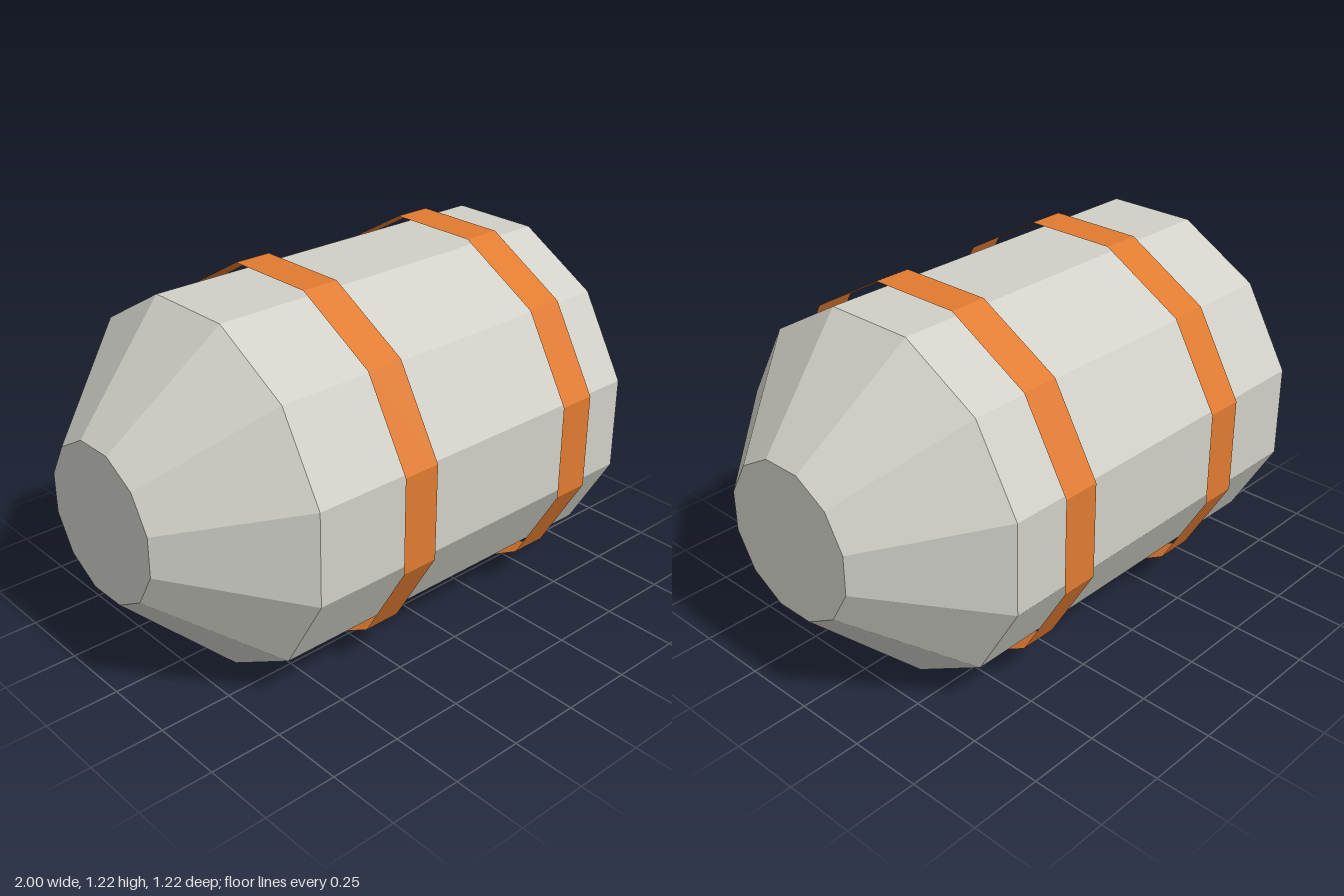
import * as THREE from 'three';

const SIDES = 12;
const HALF_STEP = Math.PI / SIDES; // turns a flat facet to the top and bottom
const AXIS_HEIGHT = 0.61;

export function createModel() {
  const shellGrey = new THREE.MeshStandardMaterial({ color: 0xd0d0c8, flatShading: true });
  shellGrey.name = 'shellGrey';
  const bandOrange = new THREE.MeshStandardMaterial({ color: 0xe07b30, flatShading: true, side: THREE.DoubleSide });
  bandOrange.name = 'bandOrange';

  const model = new THREE.Group();
  model.name = 'canister';

  // Faceted body with tapered, flat ends, lying along x
  const profile = [[0, -1], [0.26, -1], [0.606, -0.65], [0.606, 0.65], [0.26, 1], [0, 1]]
    .map(([r, h]) => new THREE.Vector2(r, h));
  const bodyGeometry = new THREE.LatheGeometry(profile, SIDES, HALF_STEP);
  bodyGeometry.rotateZ(-Math.PI / 2);
  const body = new THREE.Mesh(bodyGeometry, shellGrey);
  body.name = 'body';
  body.position.y = AXIS_HEIGHT;
  model.add(body);

  // Open bands standing slightly off the body
  const bandGeometry = new THREE.CylinderGeometry(0.6315, 0.6315, 0.13, SIDES, 1, true, HALF_STEP);
  bandGeometry.rotateZ(-Math.PI / 2);
  for (const [name, x] of [['rightBand', -0.283], ['leftBand', 0.41]]) {
    const band = new THREE.Mesh(bandGeometry, bandOrange);
    band.name = name;
    band.position.set(x, AXIS_HEIGHT, 0);
    model.add(band);
  }

  return model;
}
